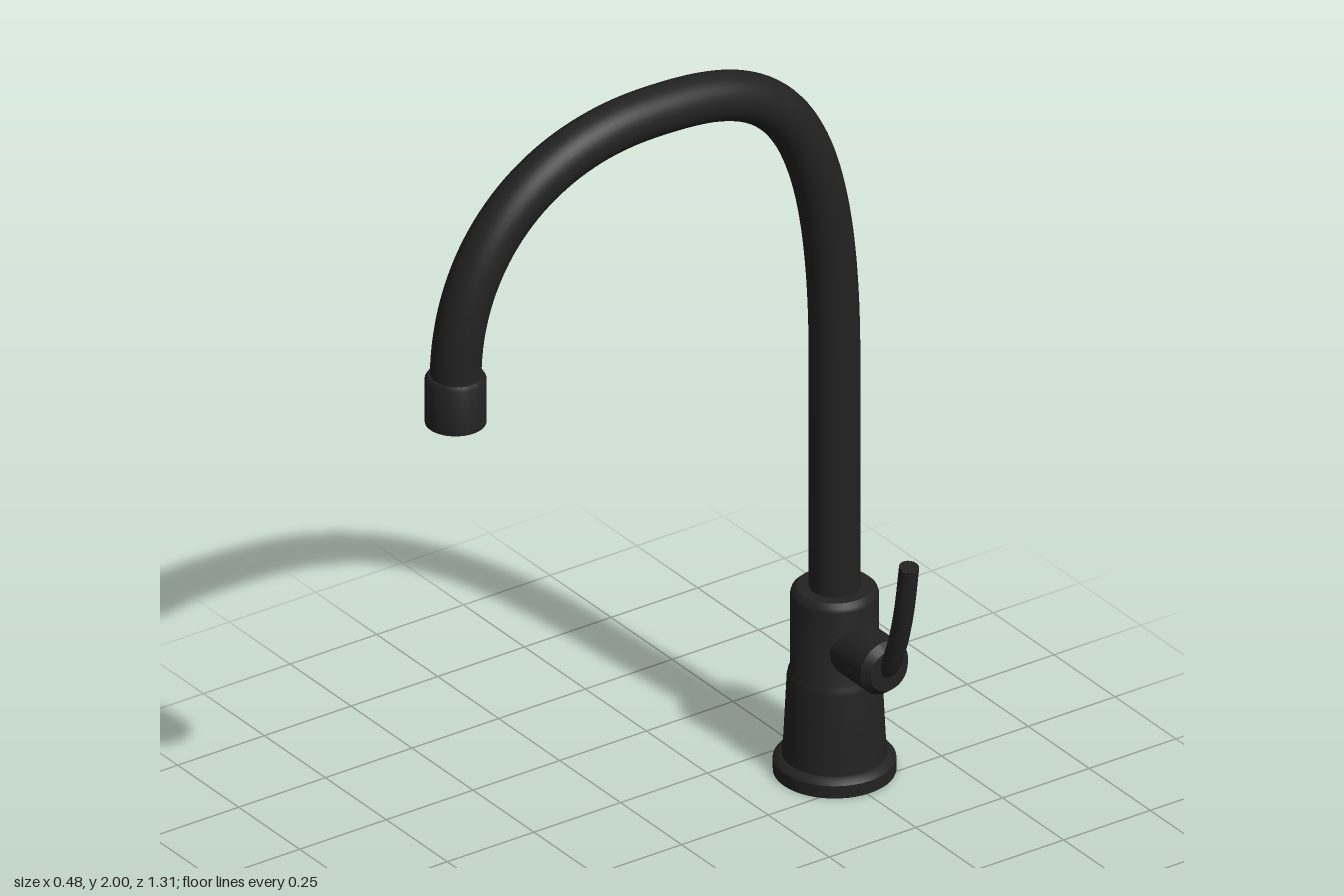
import * as THREE from 'three';
import { toCreasedNormals } from 'three/addons/utils/BufferGeometryUtils.js';

const AXIS_X = -0.095;
const AXIS_Z = -0.508;

const v = (x, y, z) => new THREE.Vector3(x, y, z);

export function createModel() {
  const group = new THREE.Group();
  const matteBlack = new THREE.MeshStandardMaterial({ color: 0x222222 });
  matteBlack.name = 'matte black';

  function add(name, geometry, x = 0, y = 0, z = 0) {
    const mesh = new THREE.Mesh(geometry, matteBlack);
    mesh.name = name;
    mesh.position.set(x, y, z);
    group.add(mesh);
    return mesh;
  }

  // Turned solid from [radius, height] pairs, listed bottom to top
  function turned(profile, segments = 48) {
    const points = profile.map(([r, y]) => new THREE.Vector2(r, y));
    return toCreasedNormals(new THREE.LatheGeometry(points, segments), 0.6);
  }

  // Flanged base, tapered skirt and straight collar
  add('base', turned([
    [0, 0], [0.146, 0], [0.146, 0.033], [0.139, 0.042], [0.125, 0.047],
    [0.121, 0.09], [0.113, 0.255], [0.11, 0.27], [0.105, 0.28],
    [0.105, 0.475], [0.102, 0.485], [0.091, 0.495], [0, 0.495],
  ]), AXIS_X, 0, AXIS_Z);

  // Riser and gooseneck as one continuous tube
  const neckPath = new THREE.CurvePath();
  neckPath.add(new THREE.LineCurve3(v(AXIS_X, 0.45, AXIS_Z), v(AXIS_X, 1.1, AXIS_Z)));
  neckPath.add(new THREE.CubicBezierCurve3(
    v(AXIS_X, 1.1, AXIS_Z), v(AXIS_X, 1.87, AXIS_Z), v(AXIS_X, 1.94, -0.3), v(AXIS_X, 1.94, 0.035)));
  neckPath.add(new THREE.CubicBezierCurve3(
    v(AXIS_X, 1.94, 0.035), v(AXIS_X, 1.94, 0.37), v(AXIS_X, 1.72, 0.585), v(AXIS_X, 1.4, 0.585)));
  add('neck', new THREE.TubeGeometry(neckPath, 120, 0.061, 32, false));

  // Spout nozzle
  add('nozzle', turned([
    [0, 0], [0.073, 0], [0.073, 0.118], [0.067, 0.128], [0, 0.128],
  ]), AXIS_X, 1.285, 0.585);

  // Valve boss on the left side of the collar
  const boss = add('valveBoss', turned([
    [0, 0], [0.069, 0], [0.069, 0.16], [0.053, 0.18], [0, 0.18],
  ]), -0.051, 0.365, AXIS_Z);
  boss.rotation.z = -Math.PI / 2;

  // Curved lever with a flat tip
  const leverPath = new THREE.CatmullRomCurve3([
    v(0.1, 0.36, AXIS_Z), v(0.127, 0.377, AXIS_Z), v(0.157, 0.437, AXIS_Z),
    v(0.188, 0.545, AXIS_Z), v(0.211, 0.683, AXIS_Z),
  ]);
  add('lever', new THREE.TubeGeometry(leverPath, 32, 0.024, 20, false));
  const tipPoint = leverPath.getPoint(1);
  const tip = add('leverTip', new THREE.CircleGeometry(0.024, 20), tipPoint.x, tipPoint.y, tipPoint.z);
  tip.quaternion.setFromUnitVectors(v(0, 0, 1), leverPath.getTangent(1));

  return group;
}
